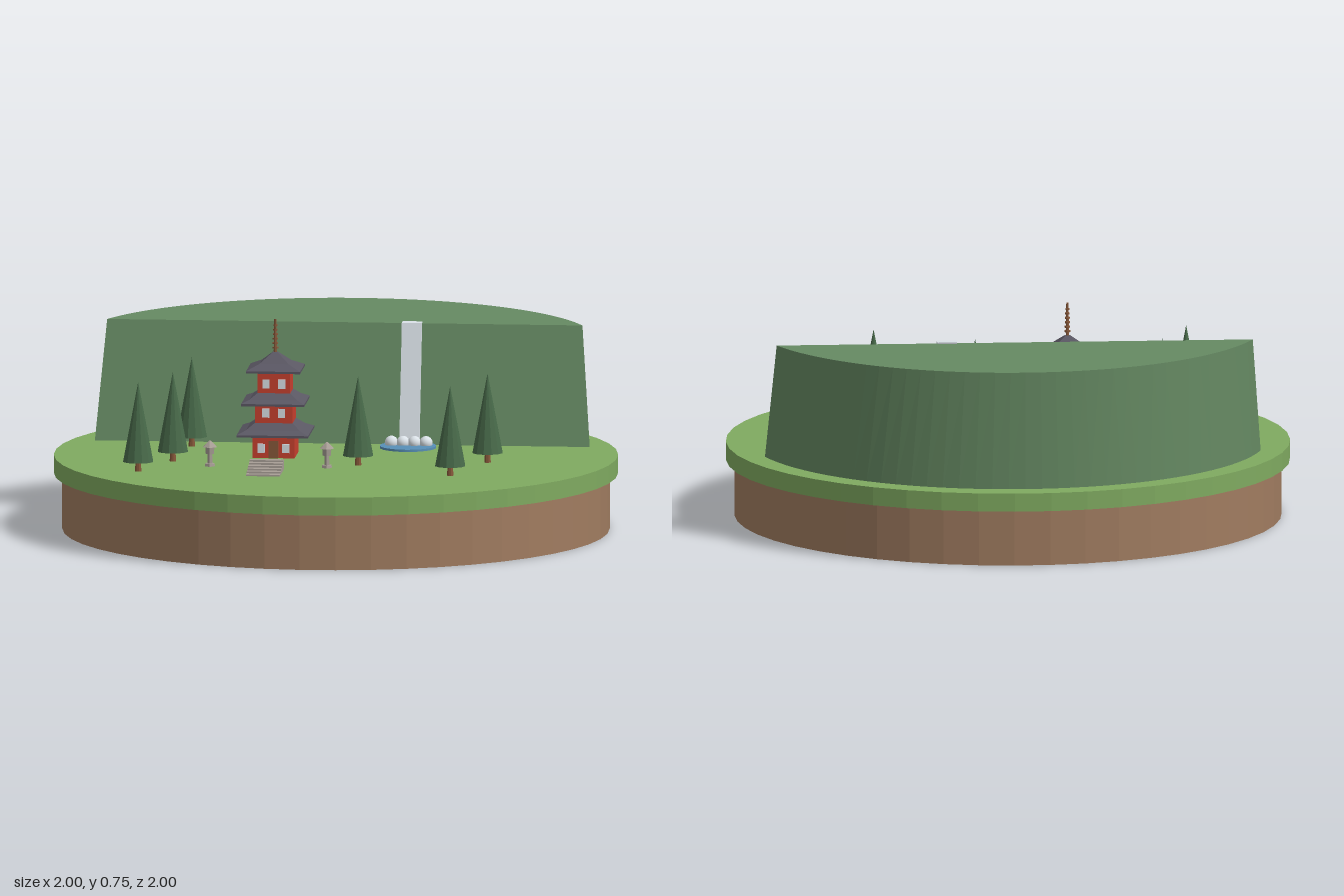
import * as THREE from 'three';

const mat = (name, color) => Object.assign(new THREE.MeshStandardMaterial({ color }), { name });

// Facet a geometry so every polygon has its own normal
function flat(geo) {
  const g = geo.index ? geo.toNonIndexed() : geo;
  g.computeVertexNormals();
  return g;
}

function add(parent, name, geo, material, x = 0, y = 0, z = 0) {
  const mesh = new THREE.Mesh(geo, material);
  mesh.name = name;
  mesh.position.set(x, y, z);
  parent.add(mesh);
  return mesh;
}

function group(parent, name, x = 0, y = 0, z = 0) {
  const g = new THREE.Group();
  g.name = name;
  g.position.set(x, y, z);
  parent.add(g);
  return g;
}

const box = (w, h, d) => new THREE.BoxGeometry(w, h, d);
const cyl = (rt, rb, h, n) => flat(new THREE.CylinderGeometry(rt, rb, h, n));

// Half-moon plateau with a vertical curved back and a leaning front face
function cliffGeometry(r, y0, y1, cut0, cut1, n) {
  const pos = [], tri = (...p) => p.forEach((v) => pos.push(v.x, v.y, v.z));
  const arc = (cut, y) => {
    const a = Math.asin(cut / r), points = [];
    for (let i = 0; i <= n; i++) {
      const t = Math.PI + a + (Math.PI - 2 * a) * (i / n) - 2 * a;
      points.push(new THREE.Vector3(r * Math.cos(t), y, r * Math.sin(t)));
    }
    return points;
  };
  // Arcs run from the -x end round the back (-z) to the +x end
  const sweep = (cut, y) => {
    const a = Math.asin(-cut / r);
    return arc(0, y).map((_, i) => {
      const t = Math.PI + a + (Math.PI - 2 * a) * (i / n);
      return new THREE.Vector3(r * Math.cos(t), y, r * Math.sin(t));
    });
  };
  const low = sweep(cut0, y0), high = sweep(cut1, y1);
  for (let i = 0; i < n; i++) {
    tri(low[i], high[i], low[i + 1], high[i], high[i + 1], low[i + 1]);
    if (i > 0) tri(high[0], high[i + 1], high[i], low[0], low[i], low[i + 1]);
  }
  tri(low[0], low[n], high[n], low[0], high[n], high[0]);
  const g = new THREE.BufferGeometry();
  g.setAttribute('position', new THREE.Float32BufferAttribute(pos, 3));
  return flat(g);
}

// Square flared roof, given half widths at the eave and at the top
function roofGeometry(eave, top, rise) {
  const k = Math.SQRT2;
  const profile = [
    [0, 0], [eave, 0], [eave, 0.008],
    [top + (eave - top) * 0.5, 0.008 + (rise - 0.008) * 0.36], [top, rise], [0, rise],
  ].map(([x, y]) => new THREE.Vector2(x * k, y));
  return flat(new THREE.LatheGeometry(profile, 4, Math.PI / 4));
}

export function createModel() {
  const soil = mat('soil', 0xa07c60), grass = mat('grass', 0x7faa60);
  const rock = mat('mossy rock', 0x668a63), leaf = mat('pine green', 0x486a4a);
  const wood = mat('wood', 0x87583a), red = mat('red wall', 0xc8402f);
  const tile = mat('roof tile', 0x5a5763), stone = mat('stone', 0xa89e96);
  const water = mat('water', 0x5890b8), foam = mat('foam white', 0xdde4ea);

  const model = new THREE.Group();
  model.name = 'pagodaIsland';
  const ground = 0.265;

  // Round base
  add(model, 'soilBase', cyl(0.97, 0.97, 0.2, 48), soil, 0, 0.1, 0);
  add(model, 'grassDisc', cyl(1, 1, 0.065, 48), grass, 0, 0.2325, 0);

  // Everything but the trees is laid out on axes turned by 20 degrees
  const site = group(model, 'site');
  site.rotation.y = -Math.PI / 9;

  // Cliff, waterfall and pond
  add(site, 'cliff', cliffGeometry(0.915, ground, 0.685, -0.25, -0.35, 40), rock);
  const fall = box(0.07, 0.425, 0.04);
  const fp = fall.attributes.position;
  for (let i = 0; i < fp.count; i++) fp.setZ(i, fp.getZ(i) - 0.238 * fp.getY(i));
  add(site, 'waterfall', flat(fall), foam, 0.24, 0.4775, -0.292);
  add(site, 'pond', new THREE.CylinderGeometry(0.1, 0.1, 0.01, 32), water, 0.24, 0.268, -0.178);
  for (let i = 0; i < 4; i++) {
    add(site, 'foamBall', new THREE.SphereGeometry(0.024, 16, 12), foam, 0.18 + i * 0.041, 0.281, -0.192);
  }

  // Pagoda storeys: base, half width, wall top, eave, eave height, roof top half width, roof rise
  const pagoda = group(site, 'pagoda', -0.213, 0, 0.03);
  const storeys = [
    [0.265, 0.075, 0.36, 0.127, 0.345, 0.066, 0.045],
    [0.38, 0.067, 0.47, 0.112, 0.455, 0.058, 0.04],
    [0.485, 0.058, 0.585, 0.096, 0.57, 0.008, 0.065],
  ];
  storeys.forEach(([y, w, top, eave, ey, rt, rise], i) => {
    add(pagoda, 'wall', box(w * 2, top - y, w * 2), red, 0, (y + top) / 2, 0);
    add(pagoda, 'roof', roofGeometry(eave, rt, rise), tile, 0, ey, 0);
    const wx = i === 0 ? 0.044 : 0.028;
    const wy = [0.3, 0.425, 0.528][i];
    for (const s of [-1, 1]) add(pagoda, 'window', box(0.026, 0.032, 0.006), foam, s * wx, wy, w + 0.002);
  });
  add(pagoda, 'door', box(0.034, 0.062, 0.006), wood, 0, 0.296, 0.077);

  // Spire with rings
  add(pagoda, 'spire', cyl(0.004, 0.006, 0.125, 8), wood, 0, 0.69, 0);
  for (let i = 0; i < 6; i++) {
    add(pagoda, 'spireRing', cyl(0.011 - i * 0.0007, 0.011 - i * 0.0007, 0.006, 10), wood, 0, 0.65 + i * 0.016, 0);
  }

  // Stone steps rising toward the pagoda
  for (let i = 0; i < 6; i++) {
    const h = 0.006 * (i + 1);
    add(site, 'step', box(0.12, h, 0.028), stone, -0.213, ground + h / 2, 0.514 - i * 0.028);
  }

  // Stone lanterns on either side of the path
  for (const s of [-1, 1]) {
    const lantern = group(site, 'lantern', -0.213 + s * 0.208, ground, 0.308);
    add(lantern, 'lanternFoot', cyl(0.018, 0.02, 0.01, 6), stone, 0, 0.005, 0);
    add(lantern, 'lanternPost', cyl(0.009, 0.01, 0.04, 6), stone, 0, 0.027, 0);
    add(lantern, 'lanternBox', cyl(0.018, 0.016, 0.026, 6), stone, 0, 0.057, 0);
    add(lantern, 'lanternRoof', cyl(0.004, 0.027, 0.022, 6), stone, 0, 0.08, 0);
  }

  // Pine trees
  const spots = [[-0.445, -0.315], [-0.598, 0], [-0.777, 0.195], [0.012, 0.26], [0.472, 0.315], [0.266, 0.575]];
  for (const [x, z] of spots) {
    const tree = group(model, 'pineTree', x, ground, z);
    add(tree, 'trunk', cyl(0.009, 0.012, 0.045, 8), wood, 0, 0.0225, 0);
    add(tree, 'foliage', flat(new THREE.ConeGeometry(0.055, 0.285, 12)), leaf, 0, 0.1775, 0);
  }
  return model;
}
